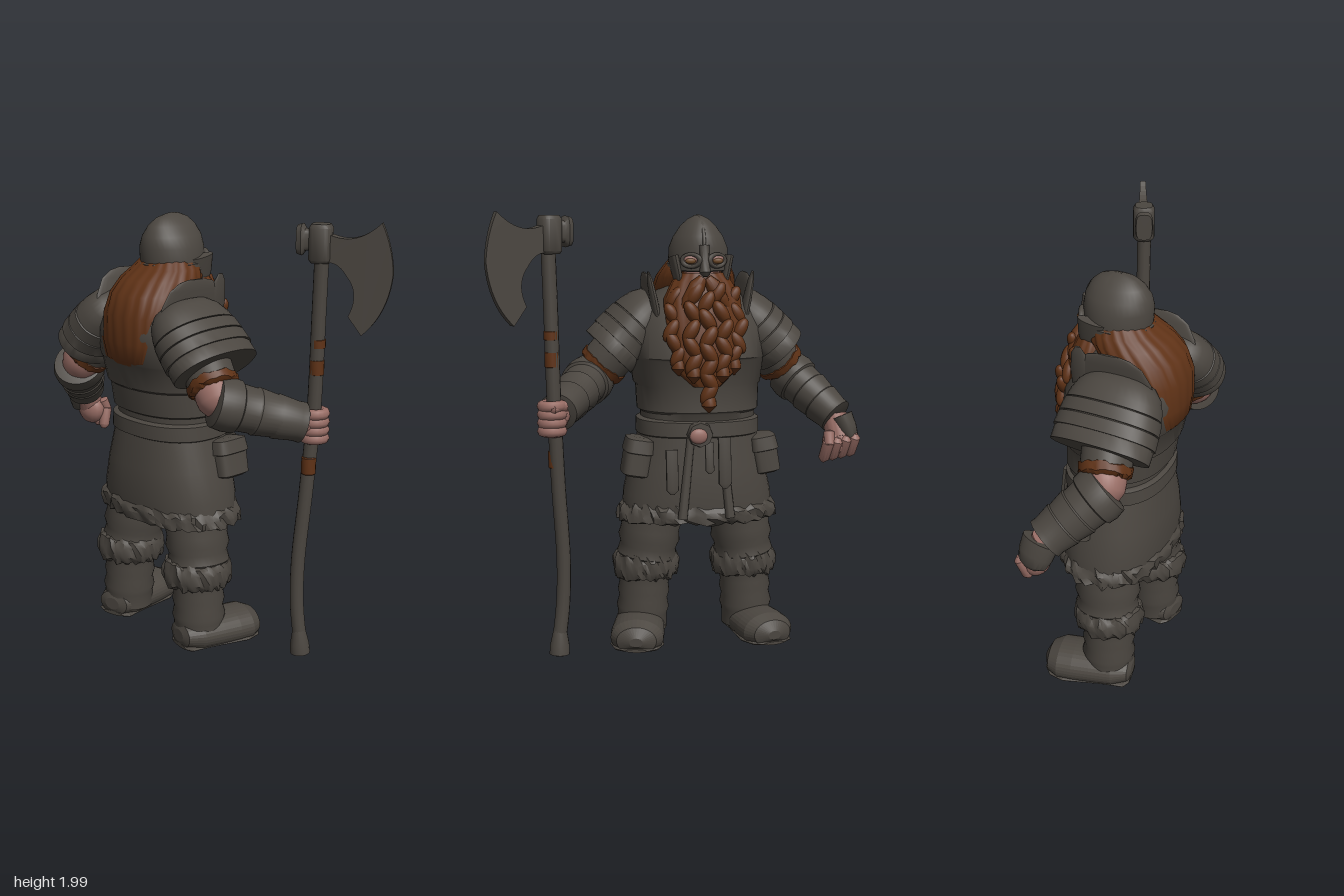
import * as THREE from 'three';
import { toCreasedNormals } from 'three/addons/utils/BufferGeometryUtils.js';

const V = (x, y, z) => new THREE.Vector3(x, y, z);
const mat = (name, color) => Object.assign(new THREE.MeshStandardMaterial({ color }), { name });

export function createModel() {
  const root = new THREE.Group();
  root.name = 'axeWarrior';
  const grey = mat('armourGrey', 0x4b4640);
  const hair = mat('hairBrown', 0x5f3216);
  const skin = mat('skin', 0x986d65);
  const eyeMat = mat('eyeAmber', 0x6a4726);
  const MID = -0.1; // the body's centre plane in z
  const body = new THREE.Group();
  body.name = 'body';
  body.position.z = MID;
  root.add(body);

  const hash = (i, j) => { const s = Math.sin(i * 127.1 + j * 311.7) * 43758.5453; return s - Math.floor(s); };

  function add(name, geo, material, parent = body) {
    const m = new THREE.Mesh(geo, material);
    m.name = name;
    parent.add(m);
    return m;
  }

  // Closed skin over rings [y, cx, cz, rx, rz]; rough = jagged fur, ridges = strands, square < 1 = boxier
  function loft(rings, { seg = 36, rough = 0, ridges = 0, square = 1 } = {}) {
    const pos = [], idx = [], n = rings.length;
    const pw = (v) => Math.sign(v) * Math.abs(v) ** square;
    rings.forEach(([y, cx, cz, rx, rz], j) => {
      for (let i = 0; i < seg; i++) {
        const a = i / seg * Math.PI * 2;
        const k = 1 + rough * (hash(i, j) - 0.5) + (ridges ? 0.018 * Math.cos(ridges * a + j * 0.5) : 0);
        pos.push(cx + rx * k * pw(Math.sin(a)), y + rough * 0.25 * (hash(i + 50, j) - 0.5), cz + rz * k * pw(Math.cos(a)));
      }
    });
    for (let j = 0; j < n - 1; j++) for (let i = 0; i < seg; i++) {
      const a = j * seg + i, b = j * seg + (i + 1) % seg;
      idx.push(a, b, a + seg, b + seg, a + seg, b);
    }
    [0, n - 1].forEach((j) => {
      const [y, cx, cz] = rings[j], c = pos.length / 3;
      pos.push(cx, y, cz);
      for (let i = 0; i < seg; i++) {
        const a = j * seg + i, b = j * seg + (i + 1) % seg;
        if (j) idx.push(c, a, b); else idx.push(c, b, a);
      }
    });
    const g = new THREE.BufferGeometry();
    g.setAttribute('position', new THREE.Float32BufferAttribute(pos, 3));
    g.setIndex(idx);
    return toCreasedNormals(g, 0.7);
  }

  // Loft from point a to b with profile [t, radius]; sx and sz flatten the section
  function limb(name, a, b, profile, material, parent, { sx = 1, sz = 1, floor, ...opt } = {}) {
    const Y = b.clone().sub(a), len = Y.length();
    Y.normalize();
    const X = Math.abs(Y.x) < 0.9 ? V(1, 0, 0) : V(0, 1, 0);
    X.addScaledVector(Y, -X.dot(Y)).normalize();
    const g = loft(profile.map(([t, r]) => [t * len, 0, 0, r * sx, r * sz]), opt);
    g.applyMatrix4(new THREE.Matrix4().makeBasis(X, Y, X.clone().cross(Y)).setPosition(a));
    if (floor !== undefined) {
      const p = g.attributes.position;
      for (let i = 0; i < p.count; i++) p.setY(i, Math.max(floor, p.getY(i)));
      g.computeVertexNormals();
    }
    return add(name, g, material, parent);
  }

  function blob(name, c, r, material, parent) {
    const m = add(name, new THREE.SphereGeometry(1, 16, 12), material, parent);
    m.position.copy(c);
    m.scale.copy(r);
    return m;
  }

  // Torso with overlapping plates, skirt and fur hem
  add('torso', loft([[0.98, -.03, 0, .21, .26], [1.1, -.03, 0, .215, .265], [1.11, -.035, 0, .228, .28], [1.22, -.045, 0, .235, .285],
    [1.23, -.05, 0, .243, .295], [1.34, -.06, 0, .257, .31], [1.35, -.06, 0, .265, .315], [1.48, -.075, 0, .262, .31],
    [1.56, -.085, 0, .235, .27], [1.62, -.08, 0, .19, .21], [1.7, -.06, 0, .1, .12]], { square: 0.88 }), grey);
  add('skirt', loft([[.62, -.04, 0, .225, .35], [.72, -.04, 0, .235, .345], [.85, -.04, 0, .23, .315], [1.02, -.035, 0, .215, .27]], { square: 0.85 }), grey);
  add('skirtFurHem', loft([[.59, -.04, 0, .2, .33], [.6, -.04, 0, .238, .37], [.63, -.04, 0, .243, .37], [.655, -.04, 0, .24, .362], [.68, -.04, 0, .225, .34]], { seg: 72, rough: 0.08, square: 0.85 }), grey);
  add('belt', loft([[.99, -.035, 0, .21, .27], [1, -.035, 0, .23, .285], [1.065, -.035, 0, .228, .283], [1.075, -.035, 0, .21, .265]], { square: 0.85 }), grey);
  const buckle = add('buckle', new THREE.CylinderGeometry(.055, .06, .03, 8), grey);
  buckle.rotation.z = -Math.PI / 2;
  buckle.position.set(.205, 1.015, .03);
  blob('buckleBoss', V(.215, 1.01, .04), V(.02, .036, .042), skin);
  [[-.08, 1, .77, .03], [.16, .95, .75, .028], [-.01, .98, .84, .02]].forEach(([z, top, bottom, w]) =>
    limb('beltStrap', V(.232, bottom, z), V(.205, top, z), [[0, .3 * w], [.1, w], [1, w]], grey, body, { sx: .35, seg: 12, square: .5 }));

  // Parts mirrored on both sides of the body
  for (const s of [-1, 1]) {
    // pouch with flap
    limb('pouch', V(.05, .81, s * .31), V(.05, .99, s * .28), [[0, .06], [.06, .085], [.6, .085], [.62, .094], [.95, .085], [1, .05]], grey, body, { sz: .72, square: .5, seg: 24 });
    // front coat edges
    limb('coatEdge', V(.205, .63, s * .11), V(.188, 1, s * .07), [[0, .022], [1, .018]], grey, body, { sx: .8, seg: 10 });
    // trouser leg, fur cuff, boot
    limb('trouserLeg', V(-.075, .38, s * .235), V(-.06, .75, s * .19), [[0, .125], [.08, .148], [.2, .138], [.3, .152], [.42, .144], [.55, .152], [.65, .148], [1, .15]], grey, body, { sz: .95 });
    limb('bootFurCuff', V(-.085, .3, s * .235), V(-.085, .43, s * .235), [[0, .12], [.08, .15], [.35, .163], [.65, .162], [.9, .15], [1, .12]], grey, body, { seg: 48, rough: .1, sz: .95 });
    limb('bootShaft', V(-.09, .05, s * .255), V(-.085, .34, s * .24), [[0, .118], [.25, .116], [.35, .124], [.5, .114], [.62, .122], [.75, .116], [1, .13]], grey);
    limb('bootFoot', V(-.21, .07, s * .24), V(.205, .06, s * .325), [[0, .04], [.03, .08], [.2, .112], [.45, .118], [.65, .122], [.82, .12], [.94, .09], [1, .03]], grey, body, { sx: .72, sz: 1.02, floor: .015 });
    limb('bootSole', V(-.205, .02, s * .24), V(.2, .02, s * .325), [[0, .06], [.05, .095], [.3, .1], [.75, .125], [.92, .1], [1, .05]], grey, body, { sx: .15, floor: .008 });
    // layered shoulder armour
    limb('shoulderArmour', V(-.13, 1.585, s * .18), V(-.13, 1.36, s * .4),
      [[-.08, .08], [0, .14], [.12, .175], [.28, .195], [.4, .203], [.4, .19], [.42, .207], [.6, .213], [.6, .2], [.62, .213], [.8, .217], [.8, .205], [.82, .21], [1, .21], [1, .17]], grey, body, { sx: 1.06, sz: .65, square: .88 });
    // broad upright collar plate
    limb('collarPlate', V(-.1, 1.5, s * .2), V(-.09, 1.725, s * .235), [[0, .2], [.5, .185], [.8, .15], [.95, .1], [1, .05]], grey, body, { sz: .09, seg: 28 });
    limb('collarSpike', V(.05, 1.48, s * .19), V(.05, 1.735, s * .24), [[0, .05], [.5, .05], [.85, .035], [1, .012]], grey, body, { sz: .35, seg: 16 });
    // helmet cheek guard
    limb('cheekGuard', V(.07, 1.6, s * .085), V(.04, 1.8, s * .125), [[0, .01], [.2, .04], [.6, .065], [1, .07]], grey, body, { sz: .32, seg: 20 });
    // eye opening with rim
    blob('eyeSocket', V(.122, 1.79, s * .056), V(.014, .022, .034), skin);
    blob('eye', V(.132, 1.783, s * .062), V(.01, .013, .024), eyeMat);
    const rim = add('eyeRim', new THREE.TorusGeometry(.04, .013, 8, 24), grey);
    rim.position.set(.126, 1.785, s * .058);
    rim.rotation.y = Math.PI / 2 - s * .45;
    rim.scale.y = .68;
  }

  // Head: helmet, nose guard, face
  add('helmet', loft([[1.735, -.02, 0, .148, .132], [1.74, -.02, 0, .16, .142], [1.77, -.02, 0, .16, .142], [1.775, -.02, 0, .152, .135],
    [1.84, -.022, 0, .155, .133], [1.89, -.022, 0, .147, .112], [1.935, -.022, 0, .122, .08], [1.967, -.022, 0, .085, .046], [1.985, -.02, 0, .03, .012]]), grey);
  const ridge = add('helmetRidge', new THREE.TorusGeometry(.155, .008, 8, 24, 1.75), grey);
  ridge.position.set(-.02, 1.825, 0);
  limb('noseGuard', V(.155, 1.715, 0), V(.125, 1.85, 0), [[0, .01], [.12, .026], [.5, .02], [1, .024]], grey, body, { seg: 12 });
  blob('face', V(.04, 1.7, 0), V(.085, .09, .1), skin);

  // Hair mass spreading over the back and shoulders
  add('hair', loft([[1.33, -.28, 0, .03, .1], [1.36, -.275, 0, .06, .15], [1.44, -.25, 0, .095, .185], [1.56, -.2, 0, .145, .195],
    [1.65, -.135, 0, .18, .192], [1.71, -.085, 0, .175, .178], [1.75, -.055, 0, .145, .155], [1.79, -.04, 0, .115, .125]], { seg: 80, ridges: 20, square: .92 }), hair);

  // Beard: main mass, moustache and knotted braids
  add('beard', loft([[1.23, .2, 0, .03, .06], [1.29, .18, 0, .065, .125], [1.4, .145, 0, .088, .165], [1.52, .11, 0, .1, .178],
    [1.62, .085, 0, .095, .172], [1.69, .07, 0, .08, .135], [1.73, .07, 0, .06, .1]], { seg: 60, ridges: 14 }), hair);
  function braid(name, pts, n, r) {
    const g = new THREE.Group();
    g.name = name;
    body.add(g);
    const c = new THREE.CatmullRomCurve3(pts);
    for (let i = 0; i < n; i++) {
      const k = blob('braidKnot', c.getPoint(i / (n - 1)), V(r * .95, r * 1.9, r), hair, g);
      k.rotation.x = (i % 2 ? 1 : -1) * .55;
    }
    limb('braidTip', pts.at(-1).clone().add(V(0, -.09, 0)), pts.at(-1), [[0, .004], [.35, r * 1.1], [.65, r], [1, r * .5]], hair, g, { seg: 12 });
  }
  for (const s of [-1, 1]) {
    braid('sideBraid', [V(.12, 1.62, s * .13), V(.17, 1.48, s * .155), V(.19, 1.37, s * .125)], 5, .03);
    braid('frontBraid', [V(.17, 1.64, s * .05), V(.22, 1.48, s * .075), V(.23, 1.34, s * .065)], 5, .031);
    limb('moustache', V(.16, 1.56, s * .11), V(.15, 1.71, s * .01), [[0, .008], [.3, .03], [.75, .038], [1, .02]], hair, body, { seg: 12 });
  }
  braid('middleBraid', [V(.18, 1.6, 0), V(.24, 1.45, 0), V(.25, 1.32, 0), V(.25, 1.21, 0)], 7, .032);

  // Arms: sleeve, elbow, vambrace; each given by shoulder, elbow and wrist
  function arm(name, shoulder, elbow, wrist) {
    const g = new THREE.Group();
    g.name = name;
    root.add(g);
    limb('upperArm', shoulder, elbow, [[0, .1], [.4, .112], [.7, .11], [.74, .09]], grey, g);
    limb('sleeveCuff', shoulder, elbow, [[.62, .09], [.65, .116], [.77, .113], [.81, .095], [.83, .07]], hair, g, { rough: .05 });
    limb('elbow', shoulder, elbow, [[.6, .08], [.85, .094], [1, .09], [1.12, .07], [1.2, .03]], skin, g);
    limb('vambrace', elbow, wrist, [[-.07, .08], [-.05, .118], [.08, .126], [.2, .122], [.22, .11], [.4, .106], [.42, .112], [.65, .1], [.67, .105], [.9, .093], [.98, .095], [1, .06]], grey, g, { sz: .92 });
    return g;
  }
  const rightArm = arm('rightArm', V(-.13, 1.45, .19), V(-.185, 1.235, .375), V(.145, 1.12, .565));
  const leftArm = arm('leftArm', V(-.13, 1.45, -.39), V(-.19, 1.235, -.58), V(-.005, 1.045, -.765));

  // Right fist wrapped around the shaft
  blob('palm', V(.18, 1.11, .575), V(.045, .075, .06), skin, rightArm);
  limb('wrist', V(.11, 1.125, .54), V(.18, 1.11, .575), [[0, .055], [1, .055]], skin, rightArm);
  for (let i = 0; i < 4; i++) {
    const f = add('finger', new THREE.TorusGeometry(.042, .025, 8, 20), skin, rightArm);
    f.rotation.x = Math.PI / 2;
    f.position.set(.192, 1.05 + i * .037, .59);
  }
  limb('thumb', V(.19, 1.16, .53), V(.25, 1.15, .6), [[0, .015], [.1, .026], [.9, .022], [1, .01]], skin, rightArm, { seg: 12 });

  // Left fist
  limb('wrist', V(-.01, 1.05, -.755), V(.03, .95, -.77), [[0, .06], [1, .06]], skin, leftArm);
  blob('palm', V(.03, .935, -.765), V(.058, .075, .078), skin, leftArm);
  for (let i = 0; i < 4; i++) {
    const z = -.83 + i * .042, y = .925 - i * .008;
    limb('finger', V(.075, y + .035, z), V(.045, y - .05, z + .015), [[-.2, .01], [0, .028], [.9, .026], [1.1, .01]], skin, leftArm, { seg: 12 });
  }
  limb('thumb', V(.06, .985, -.71), V(.085, .92, -.705), [[-.1, .01], [0, .026], [.9, .024], [1.1, .008]], skin, leftArm, { seg: 12 });
  limb('handGuard', V(0, 1.05, -.78), V(.03, .93, -.825), [[0, .085], [.5, .08], [.85, .066], [1, .035]], grey, leftArm, { seg: 20, sz: .68 });

  // Axe: bent shaft, butt, grip wraps and head
  const axe = new THREE.Group();
  axe.name = 'axe';
  root.add(axe);
  const path = [V(.155, .06, .572), V(.15, .25, .55), V(.155, .45, .545), V(.175, .8, .565), V(.195, 1.15, .58), V(.2, 1.6, .59), V(.2, 1.97, .6)];
  add('shaft', new THREE.TubeGeometry(new THREE.CatmullRomCurve3(path), 60, .032, 12), grey, axe);
  limb('shaftButt', V(.158, .01, .57), V(.152, .13, .565), [[0, .03], [.05, .046], [.4, .044], [1, .03]], grey, axe, { seg: 16 });
  for (const [y0, y1, x, z] of [[1.33, 1.4, .199, .587], [1.45, 1.49, .201, .59], [.88, .96, .175, .576]])
    limb('gripWrap', V(x, y0, z), V(x, y1, z), [[0, .028], [.05, .0325], [.95, .0325], [1, .028]], hair, axe, { seg: 16 });
  const head = new THREE.Group();
  head.name = 'axeHead';
  head.position.set(.2, 0, .59);
  head.rotation.y = -1.1;
  axe.add(head);
  const sh = new THREE.Shape();
  sh.moveTo(0, 1.94);
  sh.lineTo(.05, 1.94);
  sh.quadraticCurveTo(.16, 1.9, .26, 2);
  sh.quadraticCurveTo(.308, 1.9, .314, 1.79);
  sh.quadraticCurveTo(.3, 1.62, .19, 1.52);
  sh.lineTo(.13, 1.6);
  sh.quadraticCurveTo(.18, 1.7, .12, 1.77);
  sh.quadraticCurveTo(.09, 1.82, .05, 1.825);
  sh.lineTo(0, 1.825);
  const blade = new THREE.ExtrudeGeometry(sh, { depth: .06, bevelEnabled: false, curveSegments: 10 }).translate(0, 0, -.03);
  const bp = blade.attributes.position;
  for (let i = 0; i < bp.count; i++) bp.setZ(i, bp.getZ(i) * (1 - 2.2 * bp.getX(i)));
  blade.computeVertexNormals();
  add('blade', blade, grey, head);
  limb('socket', V(0, 1.82, 0), V(0, 1.985, 0), [[0, .04], [.08, .05], [.9, .05], [1, .04]], grey, head, { seg: 16, square: .7 });
  limb('poll', V(-.03, 1.915, 0), V(-.1, 1.915, 0), [[0, .042], [.5, .048], [.7, .068], [1, .062]], grey, head, { seg: 16, sz: .6, square: .6 });
  return root;
}
